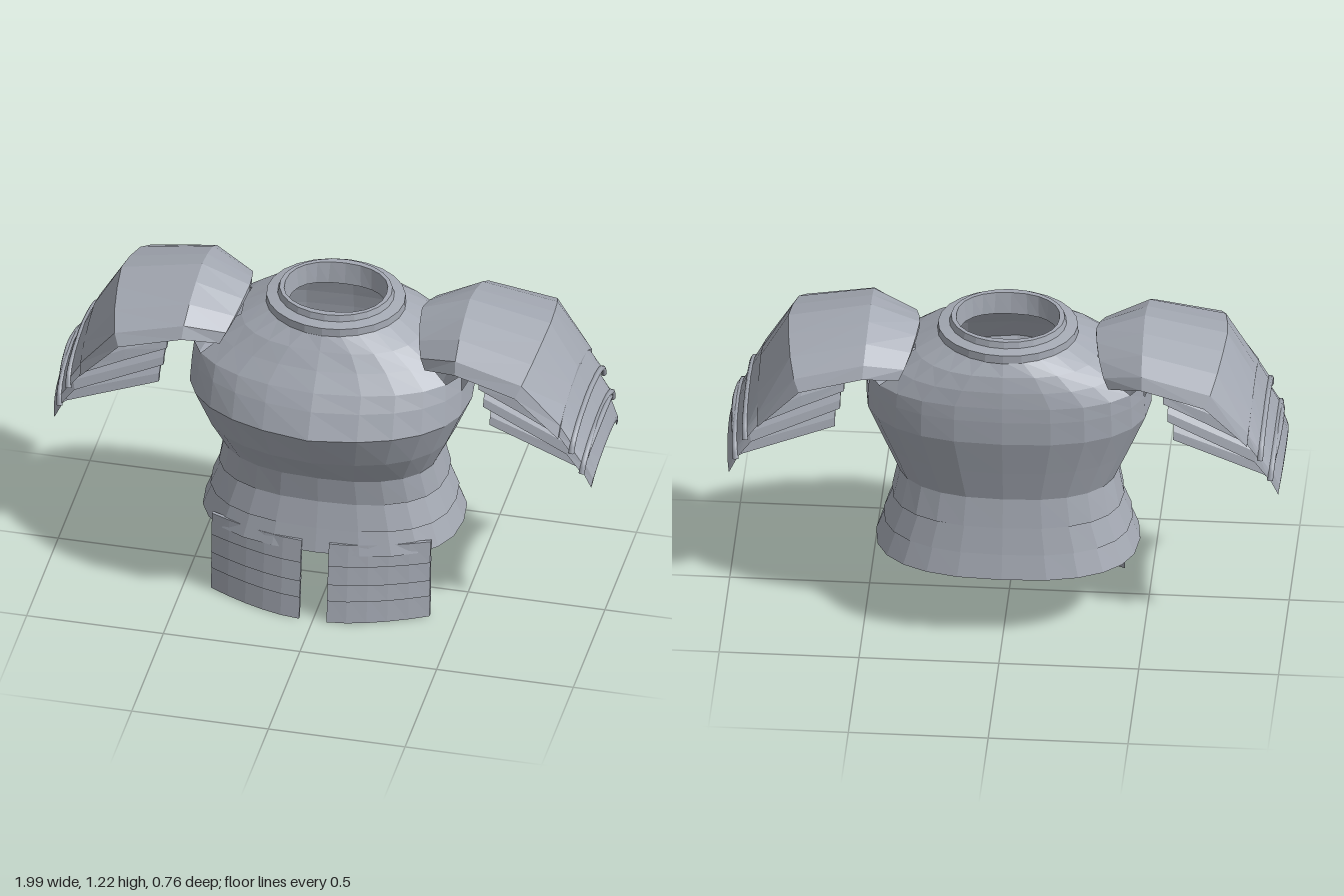
import * as THREE from 'three';

const steel = new THREE.MeshStandardMaterial({ color: 0xa4a9b3, side: THREE.DoubleSide });
steel.name = 'steel';
const V = (x, y, z) => new THREE.Vector3(x, y, z);

// Skin closed cross-section loops; caps close thin shells, skip(i, j) leaves openings
function loft(sections, { caps = false, skip = () => false } = {}) {
  const pos = [];
  const quad = (a, b, c, d) => [a, b, c, a, c, d].forEach((p) => pos.push(p.x, p.y, p.z));
  const n = sections[0].length;
  for (let i = 0; i < sections.length - 1; i++) {
    for (let j = 0; j < n; j++) {
      if (skip(i, j)) continue;
      const k = (j + 1) % n;
      quad(sections[i][j], sections[i + 1][j], sections[i + 1][k], sections[i][k]);
    }
  }
  if (caps) {
    const s = sections[0], e = sections[sections.length - 1];
    for (let j = 0; j < n / 2 - 1; j++) {
      quad(s[j], s[j + 1], s[n - 2 - j], s[n - 1 - j]);
      quad(e[j], e[n - 1 - j], e[n - 2 - j], e[j + 1]);
    }
  }
  const g = new THREE.BufferGeometry();
  g.setAttribute('position', new THREE.Float32BufferAttribute(pos, 3));
  g.computeVertexNormals();
  return g;
}

function part(name, geometry) {
  const m = new THREE.Mesh(geometry, steel);
  m.name = name;
  return m;
}

// Rounded-box ring: height, half width, front z, back z, centre ridge, roundness (1 = ellipse)
const SIDES = 24;
function ring([y, w, front, back, ridge = 0, round = 0.8]) {
  const c = (front - ridge + back) / 2, d = (front - ridge - back) / 2;
  const soften = (v) => Math.sign(v) * Math.abs(v) ** round;
  return Array.from({ length: SIDES }, (_, j) => {
    const a = (j / SIDES) * Math.PI * 2;
    const x = soften(Math.cos(a)), s = soften(Math.sin(a));
    const bump = s > 0 ? ridge * Math.max(0, 1 - Math.abs(x)) : 0;
    return V(x * w, y, c + d * s + bump);
  });
}

// Arch profiles: t across the half width, f share of the drop
const PEAKED = [[0, 0], [0.32, 0.13], [0.66, 0.36], [0.92, 0.68], [1, 1]];
const ROUNDED = [[0, 0], [0.34, 0.08], [0.62, 0.22], [0.83, 0.45], [0.95, 0.7], [1, 1]];
const MID_Z = -0.07;
function archLine(arch, [xPeak, yPeak, xEnd, yEnd, half], inset = 0) {
  const pt = ([t, f], s) => V(
    xPeak + (xEnd - xPeak) * f,
    yPeak + (yEnd - yPeak) * f - inset * (1 - f),
    MID_Z + s * t * (half - inset));
  return [...arch.slice(1).reverse().map((p) => pt(p, 1)), ...arch.map((p) => pt(p, -1))];
}
function archPlate(arch, specs, thick) {
  const loop = (s) => [...archLine(arch, s), ...archLine(arch, s, thick).reverse()];
  return loft(specs.map(loop), { caps: true });
}

function buildShoulder() {
  const g = new THREE.Group();
  // Main shoulder plate
  g.add(part('shoulderPlate', archPlate(PEAKED, [
    [0.315, 1.155, 0.375, 1.04, 0.22],
    [0.49, 1.22, 0.50, 1.08, 0.285],
    [0.785, 1.16, 0.725, 1.03, 0.31],
    [0.885, 0.985, 0.875, 0.855, 0.272],
  ], 0.022)));

  // Overlapping upper arm plates with a turned-down lip and rolled rim
  const plates = [
    [[0.57, 1.075, 0.57, 0.985, 0.215], [0.73, 1.05, 0.72, 0.925, 0.235],
      [0.885, 0.97, 0.87, 0.86, 0.255], [0.925, 0.885, 0.92, 0.79, 0.258]],
    [[0.585, 1.0, 0.585, 0.905, 0.205], [0.925, 0.885, 0.90, 0.775, 0.245], [0.965, 0.8, 0.955, 0.70, 0.245]],
    [[0.605, 0.92, 0.605, 0.82, 0.19], [0.975, 0.80, 0.945, 0.70, 0.215], [0.997, 0.718, 0.982, 0.62, 0.21]],
  ];
  plates.forEach((specs, i) => {
    g.add(part(`armPlate${i + 1}`, archPlate(ROUNDED, specs, 0.016)));
    const rim = new THREE.CatmullRomCurve3(archLine(ROUNDED, specs[specs.length - (i === 2 ? 2 : 1)]));
    g.add(part(`armPlateRim${i + 1}`, new THREE.TubeGeometry(rim, 24, 0.011, 6)));
  });
  return g;
}

function buildThighGuard() {
  const g = new THREE.Group();
  const XS = [0.4, 0.33, 0.26, 0.19, 0.12, 0.05];
  const section = (y, out) => {
    const line = (inset) => XS.map((x) =>
      V(x, y, 0.29 - 0.115 * y + out - inset - (0.12 - 0.08 * y) * ((x - 0.05) / 0.35) ** 1.6));
    return [...line(0), ...line(0.014).reverse()];
  };
  // Four overlapping bands
  [[0, 0.1], [0.085, 0.165], [0.15, 0.24], [0.225, 0.31]].forEach(([y0, y1], i) => {
    g.add(part(`thighBand${i + 1}`, loft([section(y0, 0.01), section(y1, 0.003)], { caps: true })));
  });
  return g;
}

export function createModel() {
  const model = new THREE.Group();
  model.name = 'bodyArmour';

  // Breastplate and backplate with arm openings
  const chest = [
    [0.56, 0.39, 0.222, -0.302],
    [0.69, 0.45, 0.315, -0.327, 0.03],
    [0.83, 0.51, 0.38, -0.355, 0.06],
    [0.92, 0.507, 0.33, -0.353, 0.045],
    [0.975, 0.503, 0.29, -0.348, 0.035],
    [1.035, 0.425, 0.235, -0.338, 0.02],
    [1.09, 0.335, 0.19, -0.32],
    [1.14, 0.245, 0.15, -0.29, 0, 1],
  ].map(ring);
  const armHole = (i, j) => {
    const toFront = Math.abs(((j + 0.5) % (SIDES / 2)) - SIDES / 4); // 5.5 nearest the side
    return ((i === 3 || i === 5) && toFront > 5) || (i === 4 && toFront > 4);
  };
  model.add(part('chestPlate', loft(chest, { skip: armHole })));

  // Flared waist bands, lowest last
  const bands = [
    [[0.46, 0.415, 0.217, -0.327], [0.568, 0.392, 0.226, -0.305]],
    [[0.36, 0.445, 0.24, -0.347], [0.47, 0.402, 0.21, -0.32]],
    [[0.27, 0.472, 0.262, -0.371], [0.37, 0.434, 0.232, -0.341]],
  ];
  bands.forEach(([lo, hi], i) => {
    const inner = ([y, w, f, b]) => [y, w - 0.012, f - 0.012, b + 0.012];
    model.add(part(`waistBand${i + 1}`, loft([inner(hi), inner(lo), lo, hi].map(ring))));
  });

  // Stepped neck ring around a squarer opening
  const collar = [
    [1.115, 0.175, 0.14, 0.8], [1.115, 0.245, 0.22, 1], [1.135, 0.252, 0.225, 1], [1.165, 0.25, 0.223, 1],
    [1.172, 0.21, 0.185, 1], [1.195, 0.203, 0.178, 1], [1.195, 0.185, 0.155, 0.9], [1.115, 0.175, 0.14, 0.8],
  ].map(([y, w, d, round]) => ring([y, w, MID_Z + d, MID_Z - d, 0, round]));
  model.add(part('collar', loft(collar)));

  // Mirrored shoulders and thigh guards
  for (const [side, s] of [['left', 1], ['right', -1]]) {
    for (const [name, build] of [['Shoulder', buildShoulder], ['ThighGuard', buildThighGuard]]) {
      const g = build();
      g.name = side + name;
      g.scale.x = s;
      model.add(g);
    }
  }
  return model;
}
